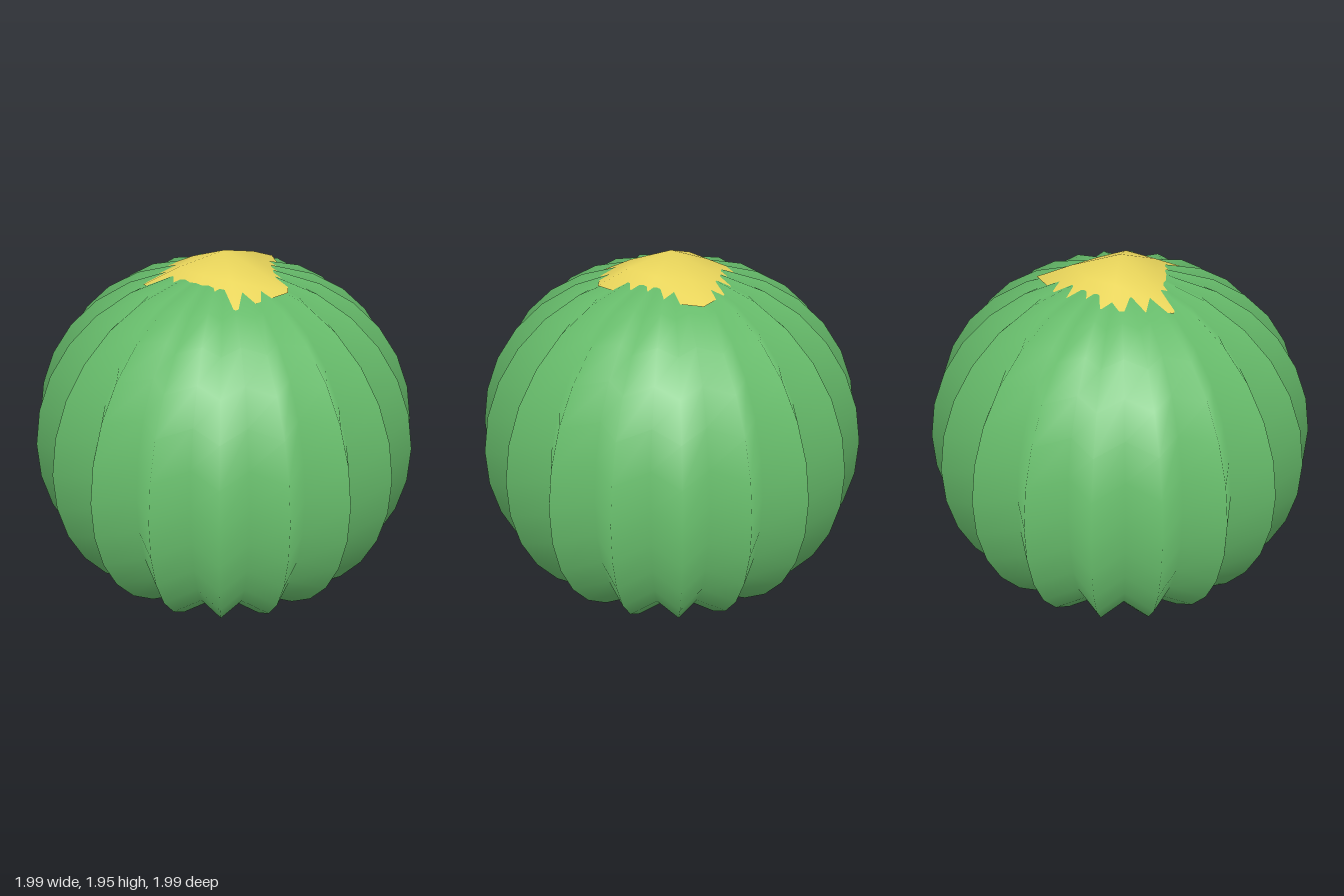
import * as THREE from 'three';
import { mergeVertices } from 'three/addons/utils/BufferGeometryUtils.js';

// Weld a geometry so it shades smoothly across every edge
function smooth(geometry) {
  geometry.deleteAttribute('uv');
  geometry.deleteAttribute('normal');
  const welded = mergeVertices(geometry, 1e-4);
  welded.computeVertexNormals();
  return welded;
}

// Globe with 20 sharp ribs: every second column is pulled in
function ribbedBody() {
  const columns = 40, rings = 15, halfHeight = 0.93;
  const geo = new THREE.SphereGeometry(1, columns, rings);
  const pos = geo.attributes.position;
  for (let i = 0; i < pos.count; i++) {
    const column = i % (columns + 1), ring = Math.floor(i / (columns + 1));
    const polar = (ring / rings) * Math.PI;
    const angle = (column / columns) * Math.PI * 2;
    const r = Math.pow(Math.max(Math.sin(polar), 0), 0.85) * (column % 2 ? 0.85 : 1);
    const pole = ring === 0 || ring === rings;
    pos.setXYZ(i, pole ? 0 : r * Math.cos(angle), halfHeight * (1 + Math.cos(polar)), pole ? 0 : r * Math.sin(angle));
  }
  // Reverse the winding to match the direction of the columns
  const index = geo.index.array;
  for (let i = 0; i < index.length; i += 3) [index[i], index[i + 1]] = [index[i + 1], index[i]];
  return smooth(geo);
}

// Irregular eight-sided cap, draped over the crown
function flowerCap() {
  const apex = 1.945;
  // Rim radius and height, from +x round through +z
  const rim = [
    [0.37, 1.815], [0.38, 1.79], [0.3, 1.795], [0.395, 1.79],
    [0.335, 1.81], [0.33, 1.8], [0.41, 1.81], [0.31, 1.8],
  ];
  const n = rim.length, points = [0, apex, 0], index = [];
  for (const [spread, drop] of [[0.58, 0.5], [1, 1]]) {
    rim.forEach(([r, y], i) => {
      const a = (i / n) * Math.PI * 2;
      points.push(r * spread * Math.cos(a), apex - (apex - y) * drop, r * spread * Math.sin(a));
    });
  }
  for (let i = 0; i < n; i++) {
    const a = 1 + i, b = 1 + ((i + 1) % n);
    index.push(0, b, a, a, b, a + n, b, b + n, a + n);
  }
  const geo = new THREE.BufferGeometry();
  geo.setAttribute('position', new THREE.Float32BufferAttribute(points, 3));
  geo.setIndex(index);
  geo.computeVertexNormals();
  return geo;
}

export function createModel() {
  const model = new THREE.Group();
  model.name = 'barrelCactus';

  const body = new THREE.Mesh(ribbedBody(), new THREE.MeshStandardMaterial({ color: 0x66bb6a }));
  body.name = 'ribbedBody';

  const cap = new THREE.Mesh(flowerCap(), new THREE.MeshStandardMaterial({ color: 0xe8d45a, side: THREE.DoubleSide }));
  cap.name = 'flowerCap';

  model.add(body, cap);
  return model;
}
